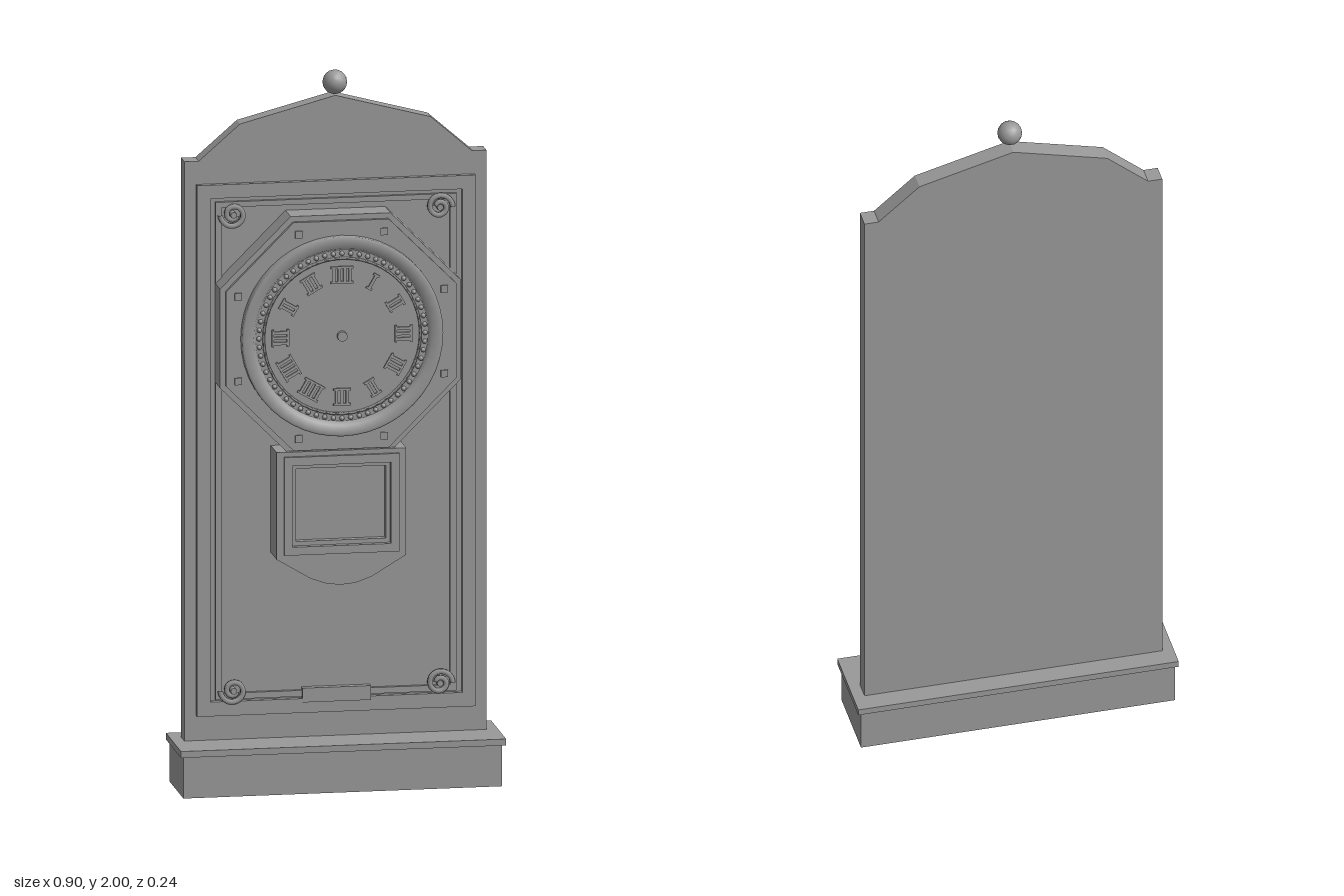
import * as THREE from 'three';

const grey = new THREE.MeshStandardMaterial({ color: 0x999999 });
grey.name = 'plain grey';

export function createModel() {
  const model = new THREE.Group();
  model.name = 'wallClock';

  const add = (name, geo, x = 0, y = 0, z = 0, parent = model) => {
    const mesh = new THREE.Mesh(geo, grey);
    mesh.name = name;
    mesh.position.set(x, y, z);
    parent.add(mesh);
    return mesh;
  };
  // Box given by its limits on each axis
  const block = (name, x0, x1, y0, y1, z0, z1, parent) =>
    add(name, new THREE.BoxGeometry(x1 - x0, y1 - y0, z1 - z0),
      (x0 + x1) / 2, (y0 + y1) / 2, (z0 + z1) / 2, parent);
  // Flat outline, with optional holes, extruded from z0 to z1
  const vec = (pts) => pts.map(([x, y]) => new THREE.Vector2(x, y));
  const prism = (name, pts, z0, z1, holes = [], parent = model) => {
    const shape = new THREE.Shape(vec(pts));
    holes.forEach((h) => shape.holes.push(new THREE.Path(vec(h))));
    const geo = new THREE.ExtrudeGeometry(shape, { depth: z1 - z0, bevelEnabled: false });
    return add(name, geo, 0, 0, z0, parent);
  };
  const rect = (w, y0, y1) => [[-w, y0], [w, y0], [w, y1], [-w, y1]];
  const polygon = (n, r, turn = 0) => Array.from({ length: n }, (_, i) => {
    const a = turn + (i / n) * Math.PI * 2;
    return [r * Math.cos(a), r * Math.sin(a)];
  });

  // Plinth and its cap
  block('plinth', -0.443, 0.443, 0, 0.12, -0.115, 0.105);
  block('plinthCap', -0.452, 0.452, 0.117, 0.135, -0.12, 0.118);

  // Back board, pediment and finial
  block('backBoard', -0.42, 0.42, 0.135, 1.76, -0.062, -0.01);
  prism('pediment', [[-0.38, 1.76], [0.38, 1.76], [0.265, 1.86], [0, 1.93], [-0.265, 1.86]],
    -0.062, -0.01);
  const ball = new THREE.IcosahedronGeometry(0.034, 2);
  add('finial', ball, 0, 1.966, -0.02);

  // Raised rails and inner bead of the board
  prism('railFrame', rect(0.387, 0.205, 1.695), -0.01, 0.006, [rect(0.35, 0.245, 1.657)]);
  prism('beadFrame', rect(0.335, 0.25, 1.645), -0.01, 0.001, [rect(0.317, 0.267, 1.63)]);
  block('lowerPlaque', -0.095, 0.095, 0.235, 0.275, -0.01, 0.01);

  // Corner scrolls
  class Spiral extends THREE.Curve {
    getPoint(t, target = new THREE.Vector3()) {
      const a = t * Math.PI * 2.9;
      const r = 0.036 - 0.026 * t;
      return target.set(r * Math.cos(a), r * Math.sin(a), 0);
    }
  }
  const scrollGeo = new THREE.TubeGeometry(new Spiral(), 36, 0.008, 6);
  for (const y of [0.275, 1.61]) {
    for (const side of [-1, 1]) {
      const scroll = new THREE.Group();
      scroll.name = 'cornerScroll';
      scroll.position.set(side * 0.287, y, 0.006);
      scroll.rotation.z = side > 0 ? 0 : Math.PI;
      add('scrollCurl', scrollGeo, 0, 0, 0, scroll);
      const boss = add('scrollBoss', new THREE.CylinderGeometry(0.009, 0.009, 0.028, 8), 0, 0, -0.002, scroll);
      boss.rotation.x = Math.PI / 2;
      model.add(scroll);
    }
  }

  // Octagonal clock case
  const clock = new THREE.Group();
  clock.name = 'clockHead';
  clock.position.y = 1.278;
  model.add(clock);
  const octagon = (apothem) => polygon(8, apothem / Math.cos(Math.PI / 8), Math.PI / 8);
  prism('caseBody', octagon(0.335), -0.01, 0.07, [], clock);
  prism('caseFrontPlate', octagon(0.32), 0.07, 0.082, [], clock);
  for (const [x, y] of polygon(8, 0.31, Math.PI / 8)) {
    add('stud', new THREE.BoxGeometry(0.02, 0.02, 0.012), x, y, 0.081, clock);
  }

  // Bezel, a ring of beads and the dial
  const ring = (name, points, segments = 48) => {
    const geo = new THREE.LatheGeometry(vec(points), segments);
    const mesh = add(name, geo, 0, 0, 0, clock);
    mesh.rotation.x = Math.PI / 2;
    return mesh;
  };
  ring('bezel', [[0.28, 0.08], [0.28, 0.102], [0.275, 0.107], [0.248, 0.107], [0.24, 0.09]]);
  ring('minuteRim', [[0.221, 0.085], [0.221, 0.097], [0.215, 0.097], [0.215, 0.085]]);
  const dial = add('dial', new THREE.CylinderGeometry(0.25, 0.25, 0.01, 48), 0, 0, 0.085, clock);
  dial.rotation.x = Math.PI / 2;
  const beadGeo = new THREE.IcosahedronGeometry(0.007, 1);
  for (const [x, y] of polygon(60, 0.231)) add('bead', beadGeo, x, y, 0.092, clock);
  const pin = add('centrePin', new THREE.CylinderGeometry(0.014, 0.014, 0.016, 12), 0, 0, 0.096, clock);
  pin.rotation.x = Math.PI / 2;

  // Hour markers: upright strokes between two short end bars
  const strokes = [4, 1, 2, 3, 3, 2, 3, 4, 4, 3, 2, 3];
  strokes.forEach((count, hour) => {
    const marker = new THREE.Group();
    marker.name = 'hourMarker';
    marker.rotation.z = -hour * Math.PI / 6;
    clock.add(marker);
    const half = (count - 1) * 0.0075;
    for (let i = 0; i < count; i++) {
      const x = -half + i * 0.015;
      block('stroke', x - 0.004, x + 0.004, 0.15, 0.19, 0.088, 0.096, marker);
    }
    for (const y of [0.147, 0.189]) {
      block('endBar', -half - 0.009, half + 0.009, y, y + 0.006, 0.088, 0.096, marker);
    }
  });

  // Pendulum box with a recessed window
  const windowHole = rect(0.137, 0.69, 0.918);
  prism('pendulumBox', [[-0.18, 0.655], [-0.085, 0.598], [-0.04, 0.582], [0, 0.578], [0.04, 0.582],
    [0.085, 0.598], [0.18, 0.655], [0.18, 0.955], [-0.18, 0.955]], -0.01, 0.083, [windowHole]);
  block('windowPane', -0.14, 0.14, 0.685, 0.925, -0.01, 0.055);
  prism('windowFrame', rect(0.16, 0.667, 0.942), 0.083, 0.092, [windowHole]);
  prism('windowBead', rect(0.137, 0.69, 0.918), 0.055, 0.075, [rect(0.125, 0.702, 0.906)]);

  return model;
}
